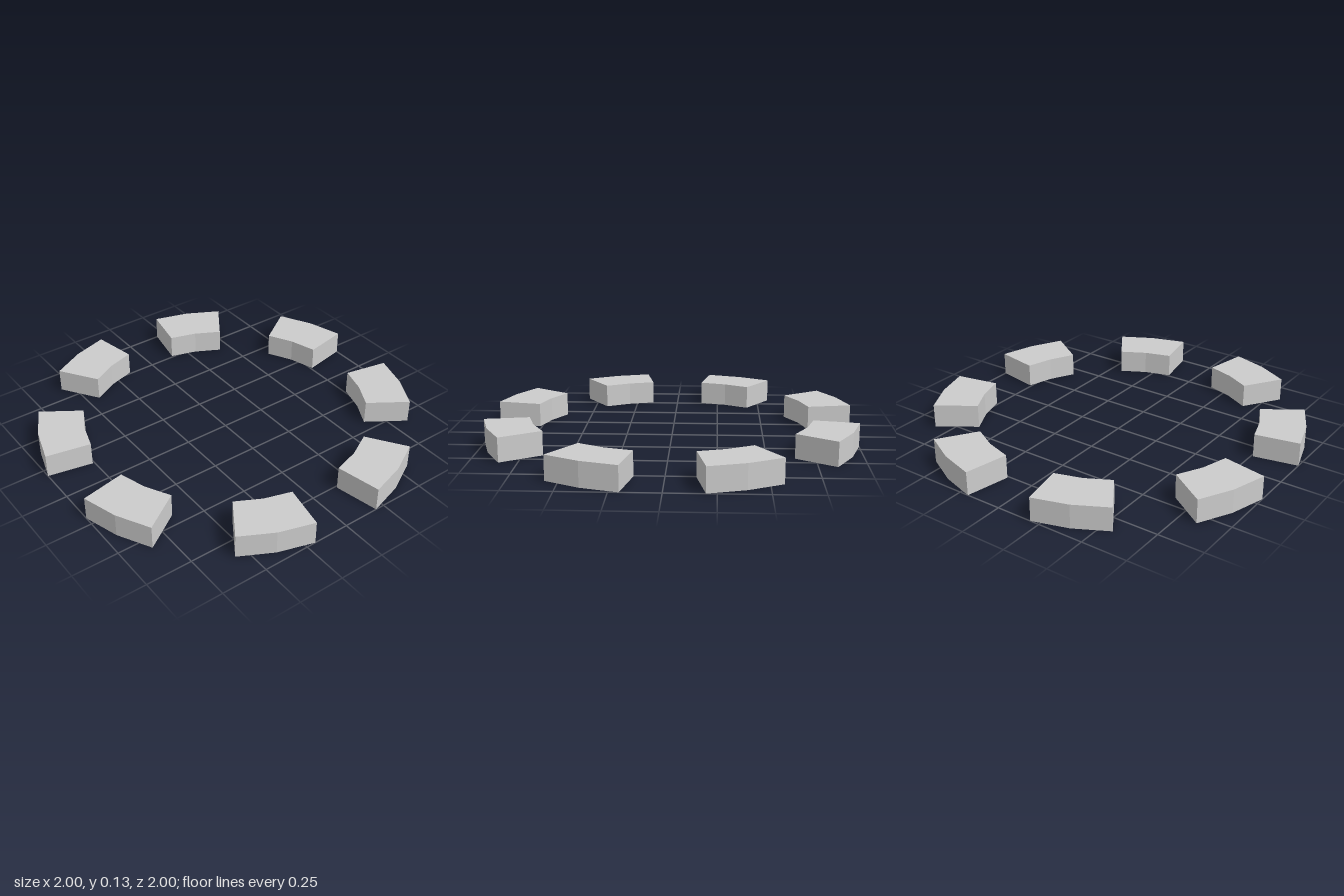
import * as THREE from 'three';

const COUNT = 8;
const STEP = Math.PI / 8; // each block spans 22.5 degrees, as does each gap
const OUTER = 1 / Math.cos(STEP / 2); // outermost corners reach 1
const INNER = 0.775;
const HEIGHT = 0.13;

// Faceted arc segment, two facets wide, centred on +x and standing on y = 0
function blockGeometry() {
  const angles = [-STEP / 2, 0, STEP / 2];
  const at = (r, a) => new THREE.Vector2(r * Math.cos(a), r * Math.sin(a));
  const shape = new THREE.Shape([
    ...angles.map((a) => at(OUTER, a)),
    ...angles.toReversed().map((a) => at(INNER, a)),
  ]);
  const geometry = new THREE.ExtrudeGeometry(shape, { depth: HEIGHT, bevelEnabled: false });
  return geometry.rotateX(-Math.PI / 2);
}

export function createModel() {
  const model = new THREE.Group();
  model.name = 'segmentedRing';
  const material = new THREE.MeshStandardMaterial({ color: 0xcccccc, flatShading: true });
  const geometry = blockGeometry();

  // Ring of evenly spaced blocks
  for (let i = 0; i < COUNT; i++) {
    const block = new THREE.Mesh(geometry, material);
    block.name = `ringBlock${i + 1}`;
    block.rotation.y = STEP * (2 * i + 1);
    model.add(block);
  }
  return model;
}
